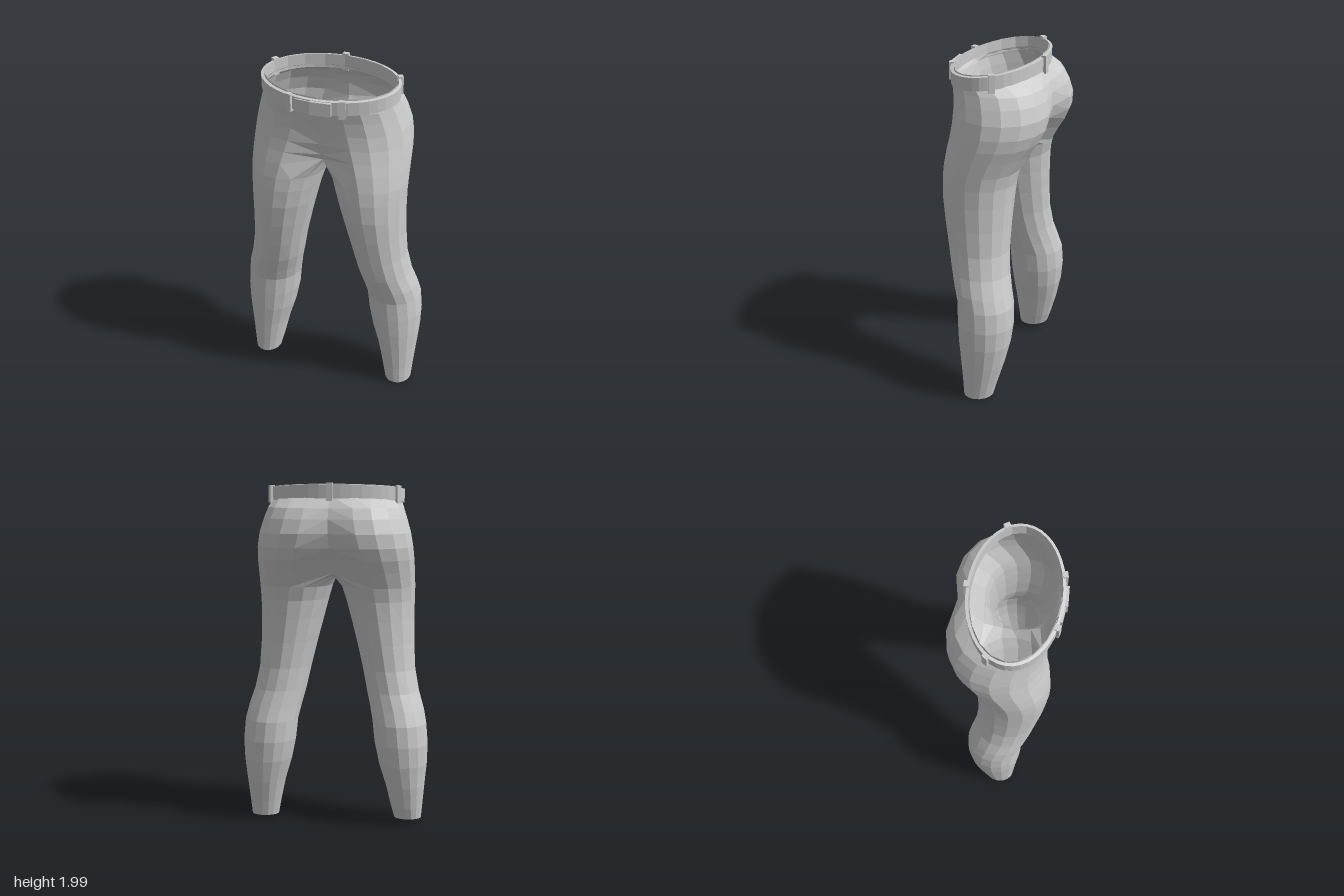
import * as THREE from 'three';

const N = 16;          // points round a leg
const ARC = 10;        // points 0..ARC run front centre -> outside -> back centre
const V = (x, y, z) => new THREE.Vector3(x, y, z);

const mat = new THREE.MeshStandardMaterial({ color: 0xcccccc, flatShading: true, side: THREE.DoubleSide });

// skin a list of rings; keep(ring, k) decides which quads exist
function loft(rings, flip = false, keep = () => true) {
  const n = rings[0].length, pos = [], idx = [];
  rings.forEach(r => r.forEach(p => pos.push(p.x, p.y, p.z)));
  for (let r = 0; r < rings.length - 1; r++) {
    for (let k = 0; k < n; k++) {
      if (!keep(r, k)) continue;
      const a = r * n + k, b = r * n + (k + 1) % n, c = b + n, d = a + n;
      if (flip) idx.push(a, c, b, a, d, c);
      else idx.push(a, b, c, a, c, d);
    }
  }
  const g = new THREE.BufferGeometry();
  g.setAttribute('position', new THREE.Float32BufferAttribute(pos, 3));
  g.setIndex(idx);
  g.computeVertexNormals();
  return g;
}

function mesh(name, geometry) {
  const m = new THREE.Mesh(geometry, mat);
  m.name = name;
  return m;
}

// waistline: angle 0 is the front, PI/2 the left side; it rises towards the back
function waist(t, off, y) {
  const z = 0.035 + (0.232 + off) * Math.cos(t);
  return V((0.372 + off) * Math.sin(t), y - 0.11 * z, z);
}

// leg sections: y, inner x, outer x, front z, back z
const LEG = [
  [0.12, 0.33, 0.518, 0.097, -0.115],
  [0.25, 0.3, 0.53, 0.11, -0.153],
  [0.38, 0.26, 0.543, 0.124, -0.182],
  [0.5, 0.235, 0.547, 0.131, -0.195],
  [0.62, 0.222, 0.537, 0.136, -0.19],
  [0.7, 0.205, 0.52, 0.16, -0.17],
  [0.8, 0.18, 0.488, 0.19, -0.147],
  [0.93, 0.153, 0.462, 0.218, -0.134],
  [1.08, 0.117, 0.453, 0.246, -0.136],
  [1.22, 0.08, 0.451, 0.266, -0.142],
  [1.33, 0.05, 0.453, 0.268, -0.15],
  [1.41, 0.025, 0.456, 0.262, -0.17],
];

// pelvis sections: y, bulge x, outer x, front z, back z, centre front z, centre back z
const PELVIS = [
  [1.5, 0.22, 0.456, 0.25, -0.22, 0.17, -0.14],
  [1.57, 0.2, 0.455, 0.238, -0.265, 0.19, -0.19],
  [1.64, 0.18, 0.45, 0.23, -0.297, 0.207, -0.245],
  [1.72, 0.16, 0.437, 0.228, -0.308, 0.218, -0.272],
  [1.8, 0.145, 0.413, 0.235, -0.29, 0.235, -0.268],
  [1.86, 0.135, 0.392, 0.246, -0.262, 0.25, -0.248],
];

function oval(cx, rx, zF, zB, y) {
  const pts = [];
  for (let k = 0; k < N; k++) {
    const a = (112.5 - 22.5 * k) * Math.PI / 180;
    pts.push(V(cx + rx * Math.cos(a), y, (zF + zB) / 2 + (zF - zB) / 2 * Math.sin(a)));
  }
  return pts;
}

// pull the inner points of a ring onto the centre plane
function closeOnCentre(pts, zF, zB, frontY, backY, dip) {
  pts[0].set(0, frontY, zF);
  pts[ARC].set(0, backY, zB);
  for (let k = ARC + 1; k < N; k++) {
    const u = (k - ARC) / (N - ARC);
    pts[k].set(0, THREE.MathUtils.lerp(backY, frontY, u) - dip * Math.sin(u * Math.PI), THREE.MathUtils.lerp(zB, zF, u));
  }
  return pts;
}

// one leg with its half of the seat
function half(side, hemY) {
  const rings = [];
  const hem = oval(0.43, 0.08, 0.09, -0.09, hemY);
  hem.forEach(p => { p.y -= p.z * 0.1; });
  rings.push(hem);
  LEG.forEach(([y, xi, xo, zF, zB]) => rings.push(oval((xi + xo) / 2, (xo - xi) / 2, zF, zB, y)));
  const crotch = rings.length;
  PELVIS.forEach(([y, cx, xo, zF, zB, cF, cB], i) => {
    const low = i === 0;
    rings.push(closeOnCentre(oval(cx, xo - cx, zF, zB, y), cF, cB, low ? 1.53 : y, low ? 1.49 : y, low ? 0.05 : 0));
  });
  [1.91, 1.972].forEach(y => {
    const pts = [];
    for (let k = 0; k < N; k++) pts.push(waist(Math.min(k, ARC) / ARC * Math.PI, 0, y));
    rings.push(pts);
  });
  rings.forEach(r => r.forEach(p => { p.x *= side; }));
  // above the crotch only the outside of the ring is cloth
  return loft(rings, side < 0, (r, k) => r < crotch || k < ARC);
}

// belt: a closed band round the waist
function beltGeometry() {
  const profile = [[0.018, 1.89], [0.02, 1.965], [0.004, 1.968], [0.002, 1.89], [0.018, 1.89]];
  return loft(profile.map(([off, y]) =>
    Array.from({ length: 40 }, (_, k) => waist(k / 40 * Math.PI * 2, off, y))));
}

// box laid flat against the belt at angle t
function onBelt(name, t, w, h, d, off) {
  const m = mesh(name, new THREE.BoxGeometry(w, h, d));
  const a = waist(t - 0.02, off, 1.926), b = waist(t + 0.02, off, 1.926);
  m.position.copy(waist(t, off, 1.926));
  m.rotation.y = Math.atan2(-(b.z - a.z), b.x - a.x);
  return m;
}

export function createModel() {
  const g = new THREE.Group();
  g.name = 'trousers';
  g.add(mesh('leftHalf', half(1, 0.02)), mesh('rightHalf', half(-1, 0.04)));
  g.add(mesh('belt', beltGeometry()));

  // belt loops: two in front, one on each side, one behind
  [0.385, -0.385, 1.97, -1.97, Math.PI].forEach(t =>
    g.add(onBelt('beltLoop', t, 0.034, 0.1, 0.028, 0.02)));

  // buckle and belt end
  g.add(onBelt('buckle', 0.09, 0.115, 0.075, 0.022, 0.024));
  g.add(onBelt('beltEnd', -0.15, 0.1, 0.066, 0.014, 0.02));
  return g;
}
